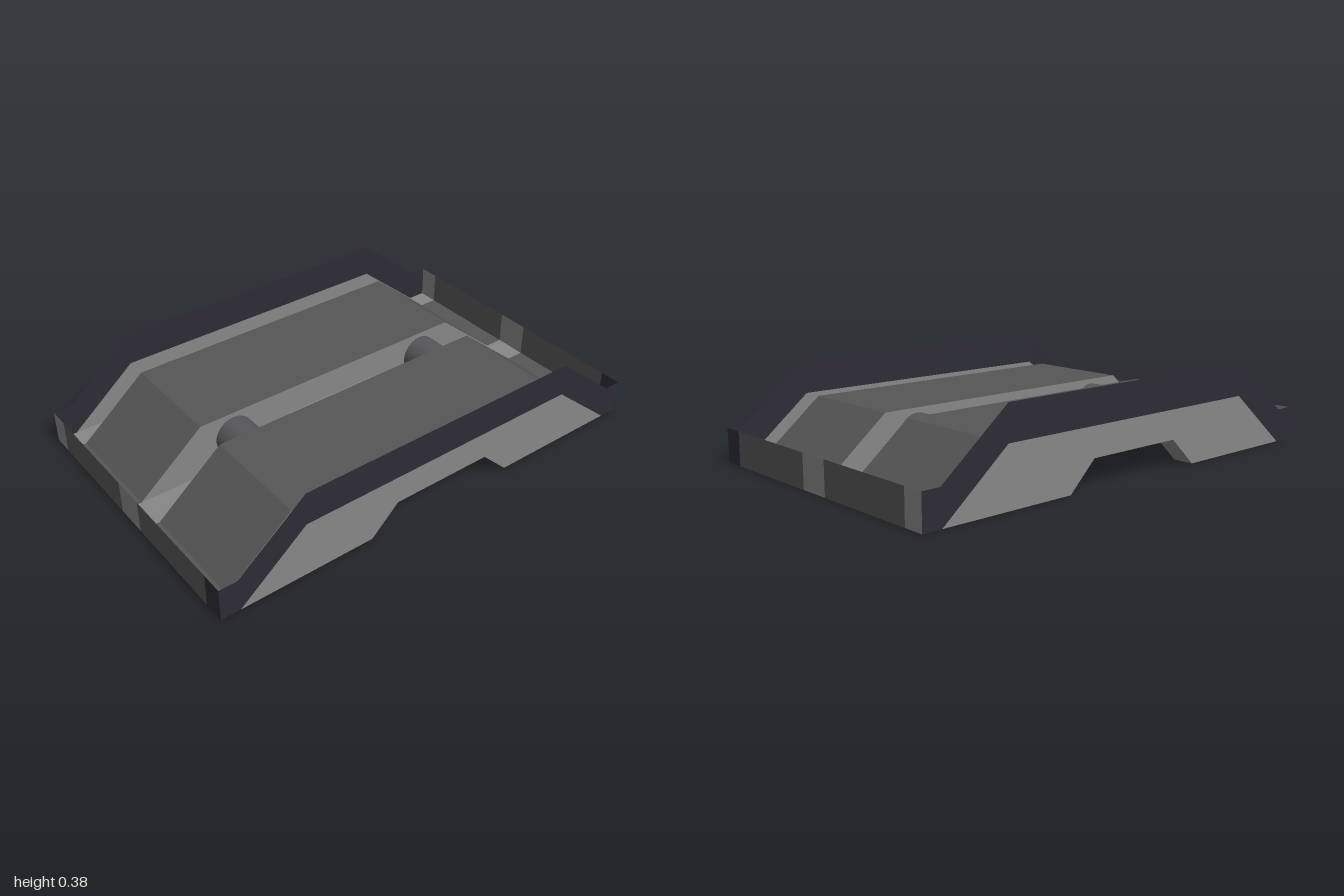
import * as THREE from 'three';

const mat = (name, color) =>
  new THREE.MeshStandardMaterial({ name, color, side: THREE.DoubleSide });

export function createModel() {
  const light = mat('light grey', 0x868686);
  const dark = mat('dark grey', 0x565657);
  const navy = mat('dark navy', 0x2d2c36);
  const steel = mat('axle grey', 0x57575b);
  const model = new THREE.Group();

  const add = (geometry, material, name) => {
    const mesh = new THREE.Mesh(geometry, material);
    mesh.name = name;
    model.add(mesh);
    return mesh;
  };

  // Flat upright sheet at a given x, outlined by (z, y) points
  const sheet = (points, x, material, name) => {
    const shape = new THREE.Shape(points.map(([z, y]) => new THREE.Vector2(z, y)));
    const geometry = new THREE.ShapeGeometry(shape);
    geometry.rotateY(-Math.PI / 2);
    add(geometry, material, name).position.x = x;
  };

  // Folded strip following (z, y) points, front to back, between two x values
  const strip = (points, x0, x1, material, name) => {
    const pos = [];
    for (let i = 0; i < points.length - 1; i++) {
      const [z0, y0] = points[i], [z1, y1] = points[i + 1];
      const a = [x0, y0, z0], b = [x1, y0, z0], c = [x1, y1, z1], d = [x0, y1, z1];
      pos.push(...a, ...b, ...c, ...a, ...c, ...d);
    }
    const geometry = new THREE.BufferGeometry();
    geometry.setAttribute('position', new THREE.Float32BufferAttribute(pos, 3));
    geometry.computeVertexNormals();
    add(geometry, material, name);
  };

  // Mirror a front half profile to the back
  const mirrored = (half) => [...half, ...half.slice().reverse().map(([z, y]) => [-z, y])];

  const W = 0.63, OUT = 0.54, IN = 0.07, WALL = 0.14;
  const floor = mirrored([[1, 0], [0.34, 0], [0.22, 0.115]]);
  const cover = mirrored([[1, 0], [0.92, 0], [0.635, 0.235]]);
  const notch = mirrored([[0.34, 0], [0.22, 0.115]]);
  const arch = mirrored([[0.92, 0], [0.635, 0.235]]);
  const panel = [...arch, ...notch.slice().reverse()];
  const rim = mirrored([[1, 0], [1, WALL], [0.925, WALL], [0.635, 0.375]]);
  const band = [...rim, ...arch.slice().reverse()];

  for (const s of [-1, 1]) {
    // Outer side: grey lower panel and dark upper band
    sheet(panel, s * W, light, 'sidePanel');
    sheet(band, s * W, navy, 'sideBand');
    // Raised cover with its two upright sides
    strip(cover, s > 0 ? IN : -OUT, s > 0 ? OUT : -IN, dark, 'raisedCover');
    sheet(panel, s * IN, light, 'coverInnerSide');
    sheet(panel, s * OUT, light, 'coverOuterSide');
    // Gutter floor beside the cover
    strip(floor, s > 0 ? OUT : -W, s > 0 ? W : -OUT, light, 'sideGutter');

    // End wall in coloured sections
    const sections = [
      [-W, -OUT, light], [-OUT, -IN, dark], [-IN, IN, light], [IN, OUT, dark], [OUT, W, navy],
    ];
    for (const [x0, x1, material] of sections) {
      const wall = add(new THREE.PlaneGeometry(x1 - x0, WALL), material, s > 0 ? 'frontWall' : 'backWall');
      wall.position.set((x0 + x1) / 2, WALL / 2, s);
      if (s < 0) wall.rotation.y = Math.PI;
    }

    // Cross axle
    const axle = new THREE.CylinderGeometry(0.085, 0.085, 1.155, 24);
    axle.rotateZ(Math.PI / 2);
    add(axle, steel, s > 0 ? 'frontAxle' : 'backAxle').position.set(0.007, 0.13, s * 0.485);
  }
  strip(floor, -IN, IN, light, 'centreGutter');

  return model;
}
